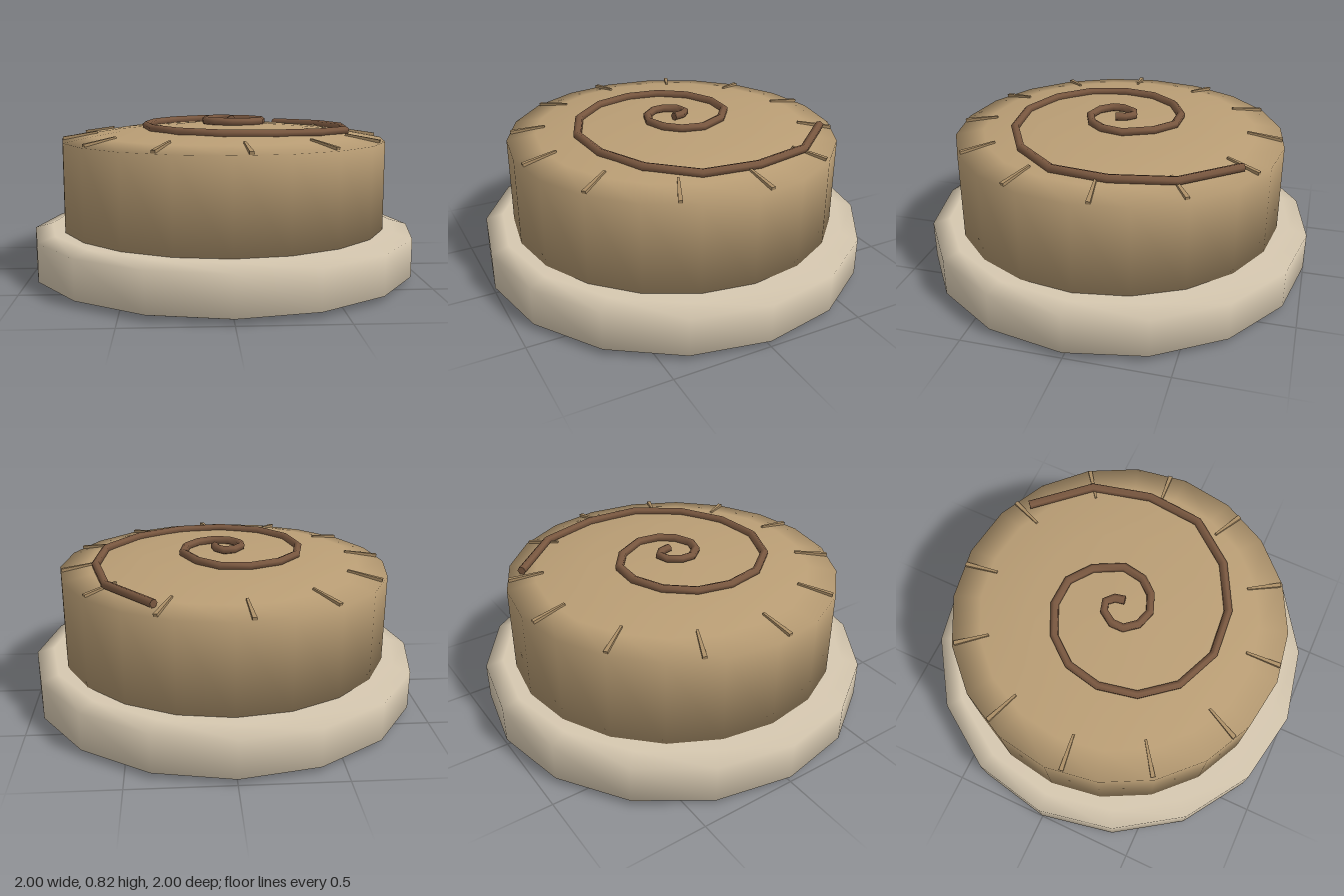
import * as THREE from 'three';

const mat = (name, color) => {
  const m = new THREE.MeshStandardMaterial({ color });
  m.name = name;
  return m;
};

export function createModel() {
  const group = new THREE.Group();
  const cream = mat('cream', 0xd6c8b0);
  const tan = mat('tan', 0xba9e75);
  const darkTan = mat('dark tan', 0xab8e66);
  const brown = mat('brown', 0x7a5840);

  const add = (name, geometry, material, parent = group) => {
    const mesh = new THREE.Mesh(geometry, material);
    mesh.name = name;
    parent.add(mesh);
    return mesh;
  };
  const lathe = (profile, sides) =>
    new THREE.LatheGeometry(profile.map(([r, y]) => new THREE.Vector2(r, y)), sides);

  // Wide plate with bevelled rims and a flat underside
  add('basePlate', lathe([[0.91, 0], [1, 0.03], [1, 0.225], [0.91, 0.25], [0, 0.25]], 16), cream);
  add('baseUnderside', new THREE.CircleGeometry(0.91, 16).rotateX(Math.PI / 2), cream);

  // Drum with a shallow domed top
  add('body', lathe([
    [0, 0.24], [0.845, 0.24], [0.845, 0.7], [0.7, 0.727], [0.55, 0.75],
    [0.42, 0.762], [0.2, 0.775], [0, 0.78],
  ], 20), tan);

  // Spiral cord lying on the dome, sinking gently toward the rim
  const path = [
    [0.045, 0.01], [0.035, -0.04], [0, -0.075], [-0.05, -0.06], [-0.09, 0], [-0.09, 0.06],
    [-0.04, 0.12], [0.04, 0.145], [0.13, 0.11], [0.19, 0.04], [0.21, -0.07], [0.14, -0.21],
    [0.03, -0.295], [-0.11, -0.3], [-0.26, -0.23], [-0.365, -0.1], [-0.4, 0.07], [-0.36, 0.26],
    [-0.23, 0.42], [-0.02, 0.51], [0.22, 0.49], [0.45, 0.37], [0.62, 0.16], [0.65, -0.12],
    [0.58, -0.42], [0.35, -0.68],
  ].map(([x, z]) => {
    const r = Math.hypot(x, z);
    return new THREE.Vector3(x, 0.8 - 0.05 * r - 0.045 * r * r, z);
  });
  const curve = new THREE.CatmullRomCurve3(path);
  curve.getUtoTmapping = (u) => u; // one straight piece per path point
  const spiral = new THREE.Group();
  spiral.name = 'spiral';
  group.add(spiral);
  add('spiralCord', new THREE.TubeGeometry(curve, path.length - 1, 0.022, 6), brown, spiral);
  for (const t of [0, 1]) {
    const cap = add('spiralEnd', new THREE.CircleGeometry(0.022, 6), brown, spiral);
    const out = curve.getTangent(t).multiplyScalar(t ? 1 : -1);
    cap.position.copy(curve.getPoint(t));
    cap.lookAt(cap.position.clone().add(out));
  }

  // Twelve tapered notches radiating around the dome's shoulder
  const notch = new THREE.CylinderGeometry(0.015, 0.008, 0.178, 4)
    .rotateY(Math.PI / 4).toNonIndexed();
  notch.computeVertexNormals();
  notch.rotateZ(-Math.PI / 2 - 0.18).translate(0.743, 0.722, 0);
  const notches = new THREE.Group();
  notches.name = 'notches';
  group.add(notches);
  for (let i = 0; i < 12; i++) {
    add('notch', notch, darkTan, notches).rotation.y = THREE.MathUtils.degToRad(5.6 + i * 30);
  }
  return group;
}
